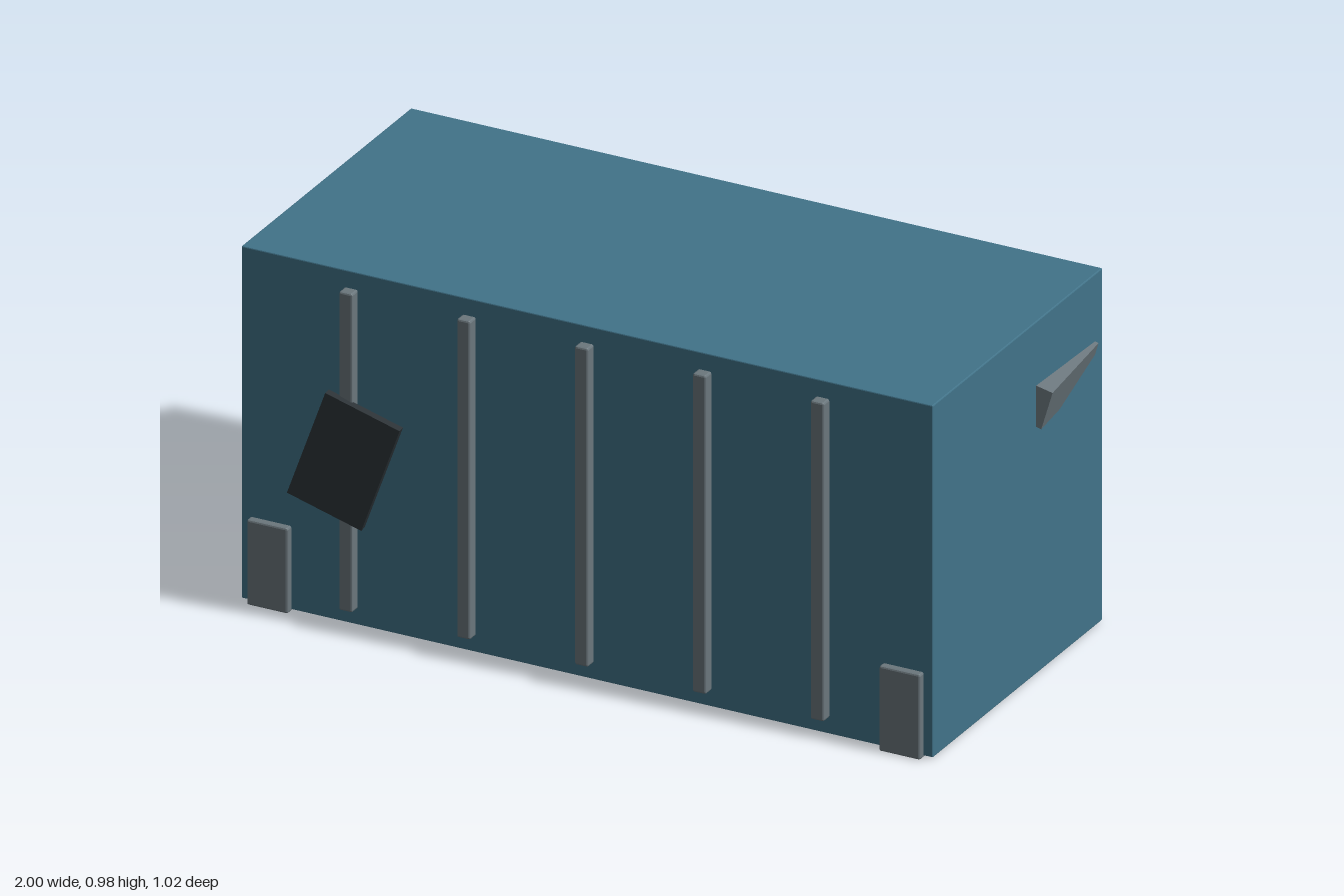
import * as THREE from 'three';
import { RoundedBoxGeometry } from 'three/addons/geometries/RoundedBoxGeometry.js';

export function createModel() {
  const model = new THREE.Group();
  model.name = 'cargoContainer';

  const paint = (color) => new THREE.MeshStandardMaterial({ color, flatShading: true });
  const blue = paint(0x417389);
  const green = paint(0x57846a);
  const brass = paint(0xcfae5c);
  const steel = paint(0x6b777d);
  const dark = paint(0x2a3135);

  // Box given by its minimum and maximum corners, with a small chamfer.
  function block(name, material, min, max, chamfer = 0.005) {
    const size = max.map((v, i) => v - min[i]);
    const mesh = new THREE.Mesh(new RoundedBoxGeometry(...size, 1, chamfer), material);
    mesh.position.set(...min.map((v, i) => (v + max[i]) / 2));
    mesh.name = name;
    model.add(mesh);
    return mesh;
  }

  // Tilted plate given by its centre, size and rotation.
  function plate(name, material, size, position, rotation) {
    const mesh = new THREE.Mesh(new THREE.BoxGeometry(...size), material);
    mesh.position.set(...position);
    mesh.rotation.set(...rotation);
    mesh.name = name;
    model.add(mesh);
  }

  // Main hull
  block('body', blue, [-1, 0.005, -0.45], [0.956, 0.98, 0.45], 0.003);

  // Corner feet, wrapping slightly under and outside the hull
  for (const x of [-0.917, 0.872]) {
    for (const side of [-1, 1]) {
      const z = side * 0.41;
      block('cornerFoot', steel, [x - 0.058, 0, z - 0.06], [x + 0.058, 0.236, z + 0.06]);
    }
  }

  // Vertical ribs on the front
  for (let i = 0; i < 5; i++) {
    const x = -0.69 + i * 0.3335;
    block('frontRib', steel, [x - 0.019, 0.05, 0.44], [x + 0.019, 0.932, 0.48]);
  }

  // Back doors, each with a pair of handles
  for (const x of [-0.648, 0.603]) {
    block('backDoor', green, [x - 0.254, 0.053, -0.484], [x + 0.254, 0.932, -0.44], 0.006);
    for (const side of [-1, 1]) {
      const hx = x + side * 0.177;
      block('doorHandle', brass, [hx - 0.015, 0.396, -0.509], [hx + 0.015, 0.629, -0.475], 0.006);
    }
  }

  // Blank name plate standing off the back wall
  block('namePlate', brass, [-0.336, 0.69, -0.488], [0.291, 0.8, -0.476], 0.002);

  // Loose dark patch on the front
  plate('frontPatch', dark, [0.212, 0.312, 0.023], [-0.688, 0.4725, 0.486], [0, 0.107, -0.337]);

  // Skewed scrap plate sunk into the left wall
  plate('sidePlate', steel, [0.06, 0.11, 0.31], [0.939, 0.746, -0.252], [0, 0.11, -0.28]);

  return model;
}
